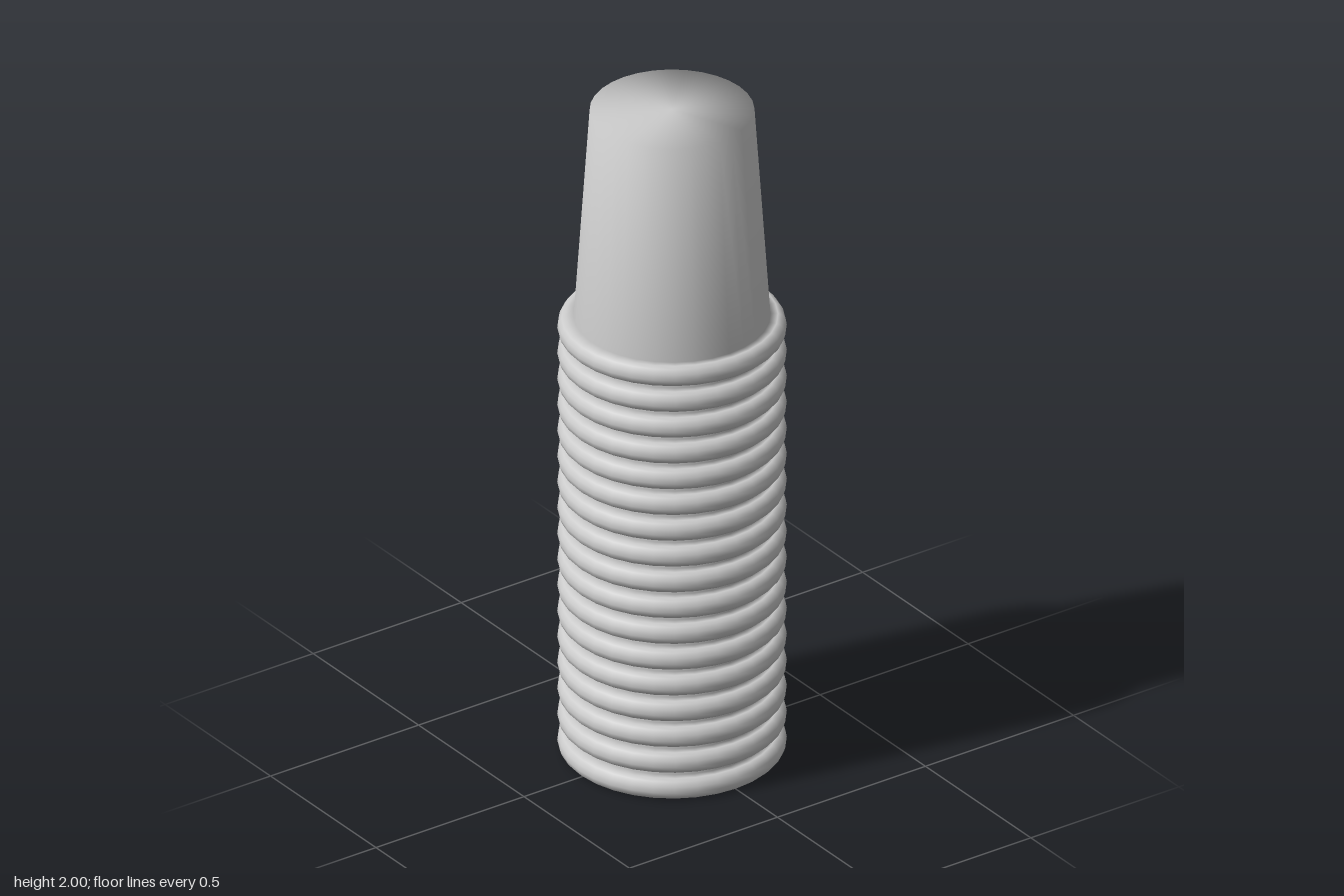
import * as THREE from 'three';

const CUPS = 17;
const STEP = 0.081; // rise from one nested cup to the next
const HEIGHT = 0.704;

export function createModel() {
  const model = new THREE.Group();
  model.name = 'cupStack';
  const material = new THREE.MeshStandardMaterial({ color: 0xcccccc, side: THREE.DoubleSide });

  // Upside-down cup: inside from the base down, round the lip, up the outside
  const profile = [
    [0, HEIGHT - 0.006], [0.223, HEIGHT - 0.006], // inner base
    [0.267, 0.058], [0.287, 0.004],               // inner wall
    [0.292, 0], [0.303, 0.001], [0.312, 0.01],    // rolled lip
    [0.316, 0.024], [0.313, 0.04], [0.304, 0.053], [0.292, 0.058],
    [0.271, 0.058], [0.227, HEIGHT],              // outer wall
    [0, HEIGHT],                                  // outer base
  ].map(([r, y]) => new THREE.Vector2(r, y));
  const cupGeometry = new THREE.LatheGeometry(profile, 32);

  // Nested stack
  for (let i = 0; i < CUPS; i++) {
    const cup = new THREE.Mesh(cupGeometry, material);
    cup.name = `cup${i + 1}`;
    cup.position.y = i * STEP;
    model.add(cup);
  }
  return model;
}
